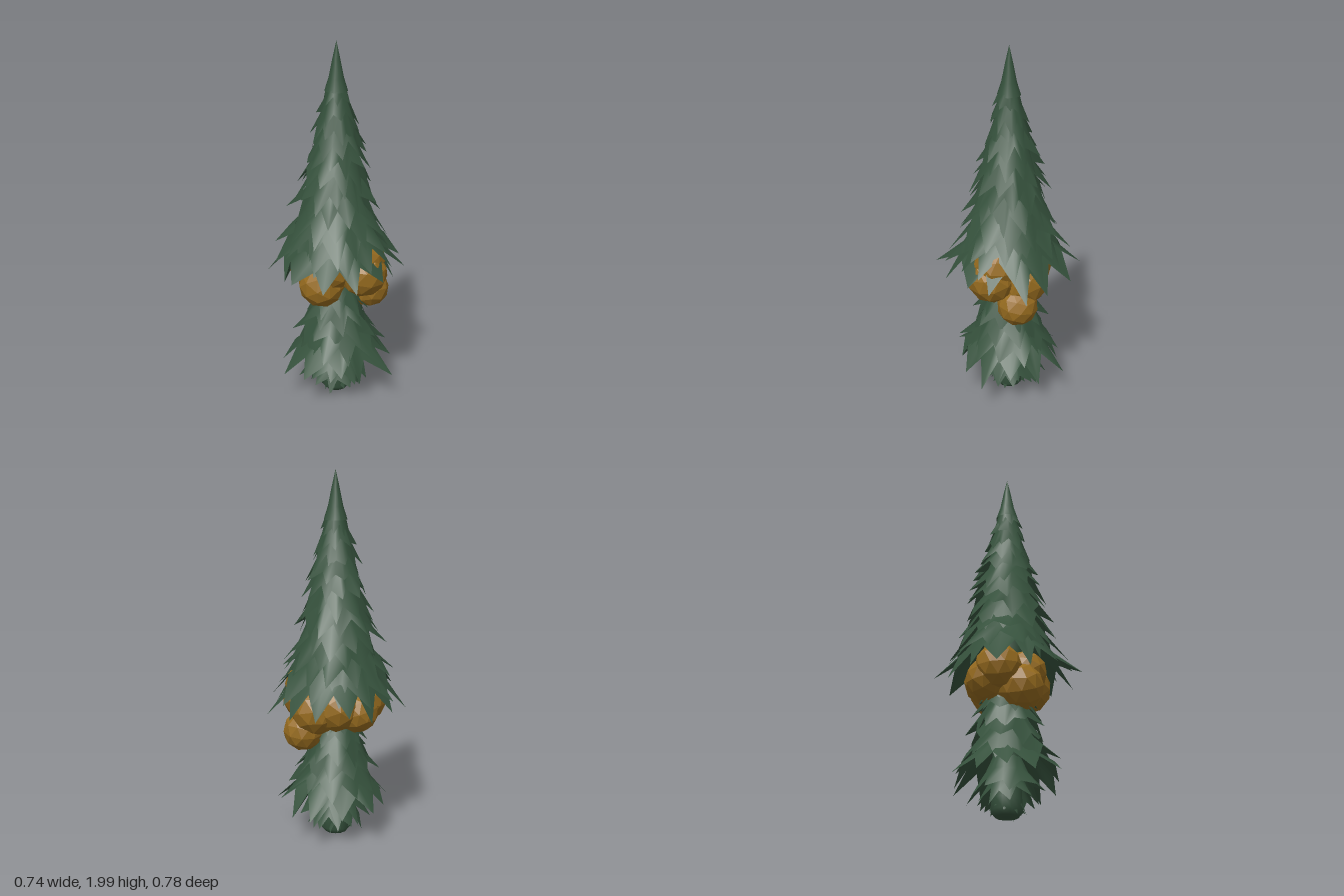
import * as THREE from 'three';

const foliage = new THREE.MeshStandardMaterial({ color: 0x35513c, side: THREE.DoubleSide });
foliage.name = 'pine green';
const gold = new THREE.MeshStandardMaterial({ color: 0x966b1f, flatShading: true });
gold.name = 'amber gold';

// small seeded generator
let seed = 7;
const rand = () => {
  seed = (seed * 16807) % 2147483647;
  return seed / 2147483647;
};

// One jagged skirt of needles: top ring, shoulder ring, then alternating tips and notches
function skirt({ tipY, tipR, height, topR, count, phase }) {
  const pos = [], index = [], n = count * 2;
  const notchR = tipR * 0.71;
  const notchY = tipY + Math.min(0.025 + tipR * 0.22, height * 0.4);
  const topY = tipY + height;
  for (let i = 0; i < n; i++) {
    const isTip = i % 2 === 0;
    const a = phase + (i + (rand() - 0.5) * 0.6) * Math.PI * 2 / n;
    const reach = isTip ? tipR * (0.8 + rand() * 0.27) : notchR * (0.92 + rand() * 0.16);
    const edgeY = isTip ? tipY + (rand() - 0.5) * 0.06 : notchY + (rand() - 0.5) * 0.04;
    const midR = topR + (notchR - topR) * 0.55;
    const midY = topY + (notchY - topY) * 0.6;
    const rings = [[topR, topY], [midR, midY], [reach, Math.max(0.01, edgeY)]];
    for (const [r, y] of rings) pos.push(Math.sin(a) * r, y, Math.cos(a) * r);
  }
  for (let i = 0; i < n; i++) {
    const a = i * 3, b = ((i + 1) % n) * 3;
    for (let k = 0; k < 2; k++) {
      index.push(a + k, a + k + 1, b + k, b + k, a + k + 1, b + k + 1);
    }
  }
  const geo = new THREE.BufferGeometry();
  geo.setAttribute('position', new THREE.Float32BufferAttribute(pos, 3));
  geo.setIndex(index);
  geo.computeVertexNormals();
  return geo;
}

export function createModel() {
  seed = 7;
  const model = new THREE.Group();
  model.name = 'layeredTree';
  const tree = new THREE.Group();
  tree.name = 'tree';
  tree.position.set(-0.01, 0, 0.035);
  model.add(tree);

  const add = (parent, name, geo, mat) => {
    const mesh = new THREE.Mesh(geo, mat);
    mesh.name = name;
    parent.add(mesh);
    return mesh;
  };
  const lathe = points => new THREE.LatheGeometry(points.map(p => new THREE.Vector2(...p)), 12);

  // Core stem
  add(tree, 'stem', lathe([[0, 0.01], [0.06, 0.01], [0.085, 0.04], [0.08, 0.1], [0.075, 0.5], [0.09, 0.9], [0.07, 1.3], [0.03, 1.7], [0, 1.9]]), foliage);

  // Foliage tiers: tip height, tip radius, tier height, top radius, needle count
  const tiers = {
    lowerFoliage: [
      [0.02, 0.1, 0.13, 0.07, 9],
      [0.06, 0.17, 0.2, 0.07, 10],
      [0.11, 0.2, 0.22, 0.07, 10],
      [0.18, 0.33, 0.26, 0.08, 12],
      [0.26, 0.28, 0.27, 0.08, 12],
      [0.35, 0.24, 0.26, 0.07, 11],
      [0.44, 0.21, 0.26, 0.07, 11],
      [0.52, 0.185, 0.25, 0.06, 10],
      [0.6, 0.16, 0.24, 0.06, 10],
    ],
    upperFoliage: [
      [0.74, 0.38, 0.3, 0.13, 13],
      [0.81, 0.35, 0.3, 0.115, 13],
      [0.89, 0.32, 0.3, 0.1, 13],
      [0.97, 0.29, 0.3, 0.09, 12],
      [1.06, 0.26, 0.3, 0.08, 12],
      [1.15, 0.235, 0.3, 0.07, 12],
      [1.24, 0.21, 0.3, 0.06, 11],
      [1.33, 0.19, 0.29, 0.05, 11],
      [1.42, 0.165, 0.28, 0.04, 10],
      [1.5, 0.14, 0.28, 0.03, 10],
      [1.58, 0.115, 0.26, 0.022, 9],
      [1.66, 0.088, 0.24, 0.018, 9],
    ],
  };
  for (const [name, list] of Object.entries(tiers)) {
    const group = new THREE.Group();
    group.name = name;
    tree.add(group);
    list.forEach(([tipY, tipR, height, topR, count], i) => {
      const geo = skirt({ tipY, tipR, height, topR, count, phase: i * 1.3 });
      add(group, 'needleTier', geo, foliage);
    });
  }

  // Slim leading shoot at the top
  add(tree, 'leadingShoot', lathe([[0.062, 1.74], [0.04, 1.81], [0.02, 1.91], [0, 2]]), foliage);

  // Faceted golden clumps around the waist: x, y, z, radius
  const clumps = new THREE.Group();
  clumps.name = 'goldenClumps';
  model.add(clumps);
  [
    [-0.07, 0.68, 0.12, 0.13],
    [0.15, 0.76, 0.1, 0.135],
    [0.16, 0.61, -0.04, 0.11],
    [-0.16, 0.77, 0.03, 0.125],
    [0.09, 0.73, -0.06, 0.135],
    [-0.02, 0.75, -0.06, 0.135],
    [-0.13, 0.72, -0.04, 0.115],
    [0.0, 0.79, 0.13, 0.12],
    [0.14, 0.83, 0.08, 0.13],
  ].forEach(([x, y, z, r], i) => {
    const clump = add(clumps, 'clump', new THREE.IcosahedronGeometry(r, 1), gold);
    clump.position.set(x, y, z);
    clump.rotation.set(i * 0.7, i * 1.1, 0);
  });

  return model;
}
